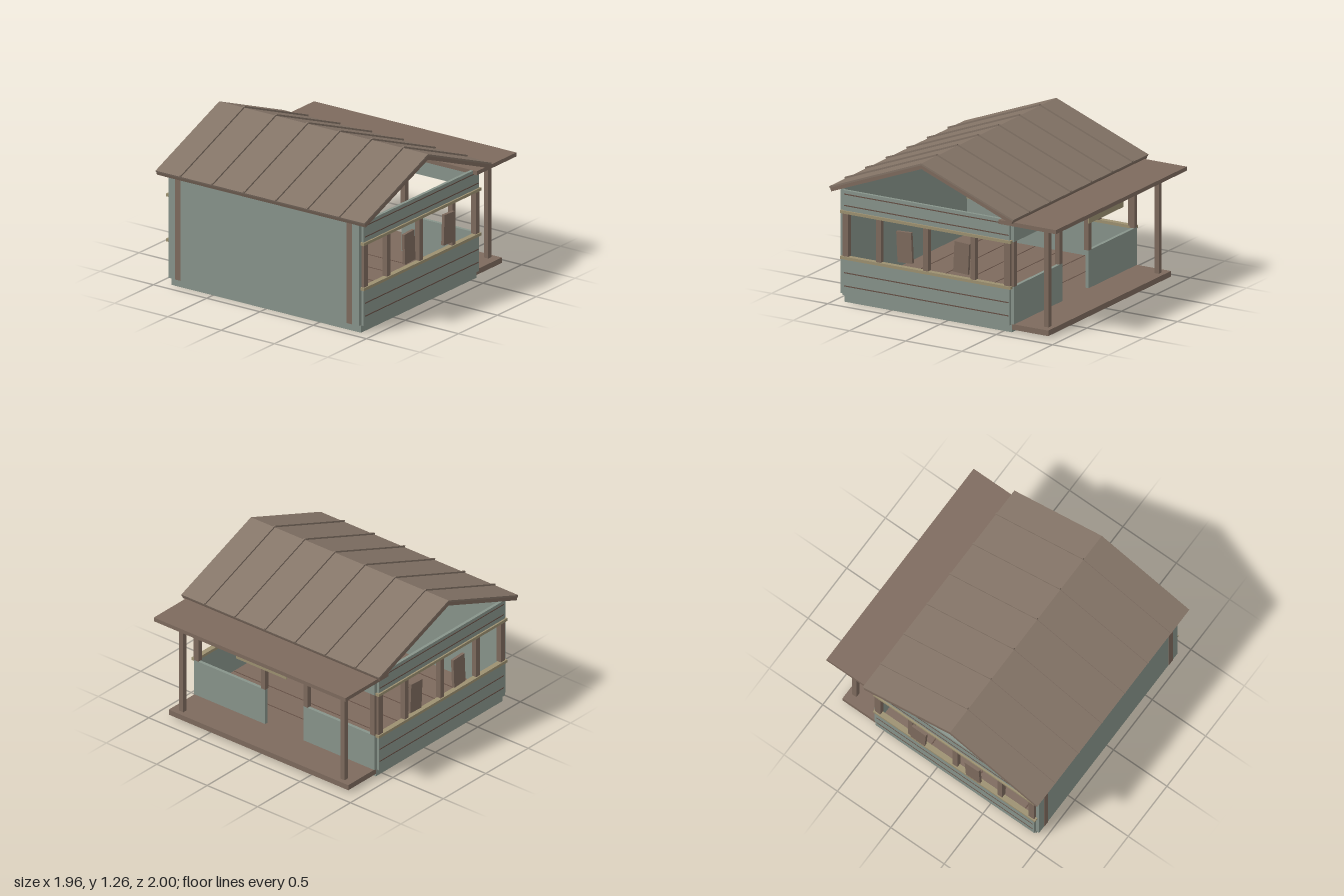
import * as THREE from 'three';

const mat = (name, color) => {
  const m = new THREE.MeshStandardMaterial({ color });
  m.name = name;
  return m;
};

export function createModel() {
  const green = mat('sage paint', 0x87938a);
  const wood = mat('brown wood', 0x7d6a5d);
  const roofing = mat('roof brown', 0x837366);
  const tan = mat('tan trim', 0x9c9070);
  const groove = mat('groove brown', 0x644f45);

  const model = new THREE.Group();
  model.name = 'cabin';

  // Box given by its min and max on each axis
  const box = (name, material, [x0, x1], [y0, y1], [z0, z1], parent = model) => {
    const mesh = new THREE.Mesh(new THREE.BoxGeometry(x1 - x0, y1 - y0, z1 - z0), material);
    mesh.position.set((x0 + x1) / 2, (y0 + y1) / 2, (z0 + z1) / 2);
    mesh.name = name;
    parent.add(mesh);
    return mesh;
  };
  // Same box on both sides of x = 0
  const pair = (name, material, [x0, x1], y, z) => {
    box(name + 'Left', material, [x0, x1], y, z);
    box(name + 'Right', material, [-x1, -x0], y, z);
  };

  // Base, plank floor and porch deck
  box('foundation', green, [-0.89, 0.89], [0, 0.06], [-0.57, 0.92]);
  box('floor', wood, [-0.89, 0.89], [0.06, 0.066], [-0.57, 0.92]);
  for (let i = 0; i < 6; i++) {
    const z = -0.35 + i * 0.22;
    box('floorGroove', groove, [-0.885, 0.885], [0.066, 0.068], [z - 0.004, z + 0.004]);
  }
  box('porchDeck', wood, [-0.89, 0.89], [0.022, 0.066], [-0.895, -0.57]);

  // Solid front wall with two vertical battens
  box('frontWall', green, [-0.895, 0.895], [0.065, 0.9], [0.92, 0.95]);
  pair('frontBatten', wood, [0.78, 0.83], [0.065, 0.89], [0.95, 0.953]);

  // Side walls: lower and upper panels, grooves, trims and window posts
  pair('lowerSideWall', green, [0.89, 0.915], [0.06, 0.355], [-0.565, 0.92]);
  pair('upperSideWall', green, [0.89, 0.915], [0.73, 0.895], [-0.565, 0.92]);
  for (const y of [0.135, 0.24, 0.775, 0.865]) {
    pair('sideGroove', groove, [0.915, 0.918], [y - 0.004, y + 0.004], [-0.555, 0.905]);
  }
  pair('windowSill', tan, [0.885, 0.928], [0.348, 0.371], [-0.58, 0.935]);
  pair('windowHeader', tan, [0.885, 0.928], [0.712, 0.735], [-0.58, 0.935]);
  for (const [z, w] of [[0.895, 0.05], [0.6, 0.043], [0.18, 0.043], [-0.24, 0.043], [-0.545, 0.05]]) {
    pair('windowPost', wood, [0.875, 0.918], [0.371, 0.712], [z - w / 2, z + w / 2]);
  }

  // Slightly crooked boards hung outside the windows
  for (const side of [1, -1]) {
    [0.357, -0.15].forEach((z, i) => {
      const board = box('hangingBoard', wood, [-0.012, 0.012], [-0.122, 0.122], [-0.066, 0.066]);
      board.position.set(side * 0.927, 0.535, z);
      board.rotation.x = side * (i ? -0.05 : 0.05);
    });
  }

  // Back wall in two halves around the doorway
  pair('backLowerWall', green, [0.19, 0.895], [0.065, 0.365], [-0.592, -0.565]);
  pair('backUpperWall', green, [0.19, 0.895], [0.72, 0.895], [-0.592, -0.565]);
  pair('doorPost', wood, [0.19, 0.232], [0.365, 0.72], [-0.592, -0.55]);
  pair('backCornerPost', wood, [0.852, 0.895], [0.365, 0.72], [-0.592, -0.55]);

  // Porch posts, flat roof and sign board
  pair('porchPost', wood, [0.78, 0.82], [0.065, 0.87], [-0.855, -0.815]);
  box('porchRoof', wood, [-0.95, 0.95], [0.865, 0.897], [-1, -0.49]);
  box('signBoard', tan, [-0.25, 0.25], [0.74, 0.84], [-0.864, -0.856]);

  // Two roof slopes with raised seams, meeting at the ridge
  const run = 0.82;
  const angle = Math.atan2(0.315, run);
  const length = run / Math.cos(angle);
  for (const side of ['front', 'back']) {
    const holder = new THREE.Group();
    holder.name = side + 'RoofSlope';
    holder.position.set(0, 1.243, 0.18);
    holder.rotation.y = side === 'front' ? 0 : Math.PI;
    const slope = new THREE.Group();
    slope.rotation.x = angle;
    holder.add(slope);
    model.add(holder);
    box('roofPanel', roofing, [-0.98, 0.98], [-0.014, 0], [0, length], slope);
    box('roofDeck', wood, [-0.98, 0.98], [-0.042, -0.014], [0, length - 0.003], slope);
    for (let i = 0; i < 6; i++) {
      const x = -0.747 + i * 0.2988;
      box('roofSeam', roofing, [x - 0.006, x + 0.006], [0, 0.013], [0, length], slope);
    }
  }
  return model;
}
